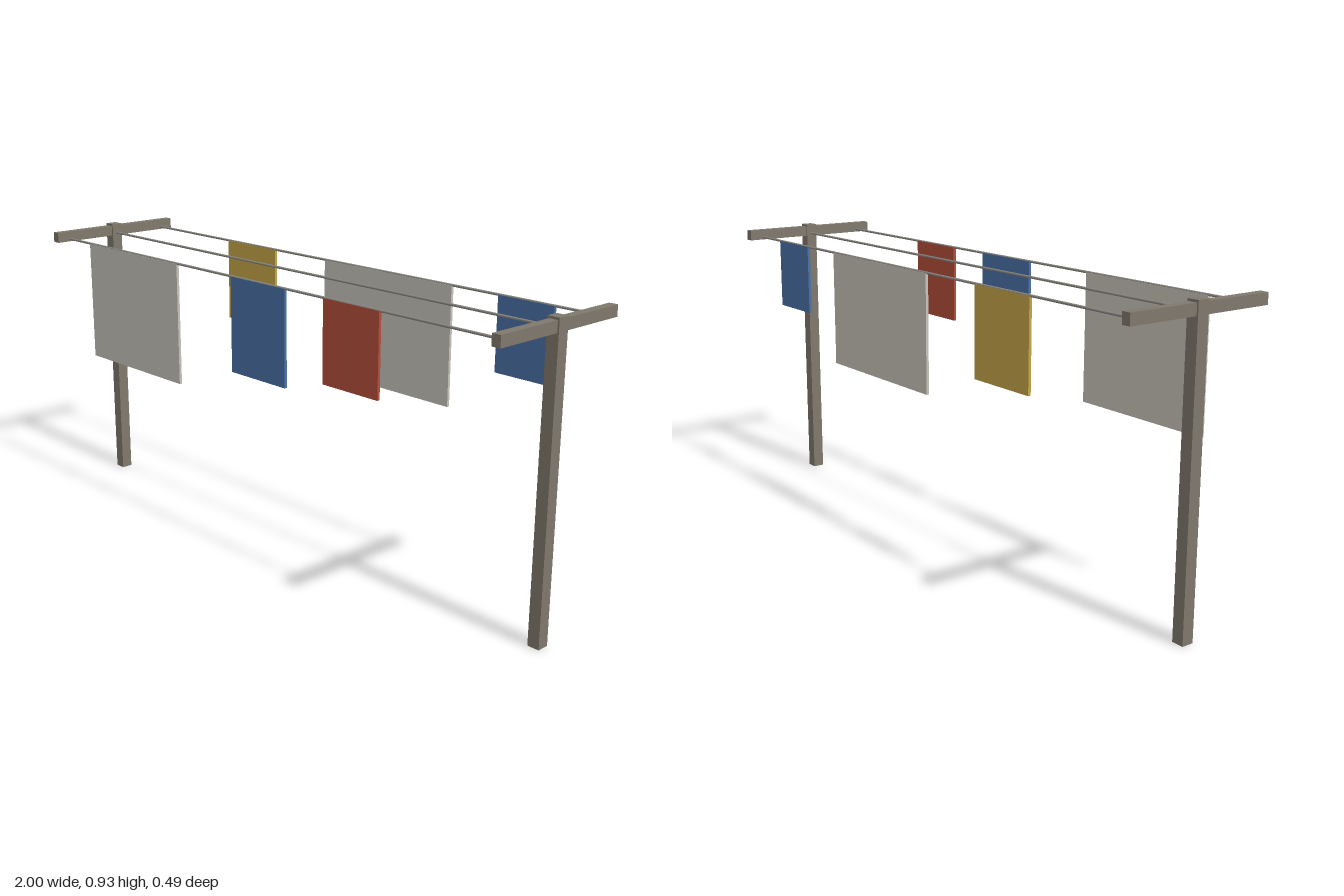
import * as THREE from 'three';

const material = (name, color) => Object.assign(new THREE.MeshStandardMaterial({ color }), { name });

export function createModel() {
  const model = new THREE.Group();
  model.name = 'clothesline';

  const wood = material('weathered wood', 0x80786c);
  const wire = material('line grey', 0x8c8a84);
  const linen = material('linen', 0xc9c5bb);
  const blue = material('blue cloth', 0x4a72a8);
  const red = material('red cloth', 0xb54e3a);
  const gold = material('gold cloth', 0xc6a548);

  const add = (name, geometry, mat, x, y, z) => {
    const mesh = new THREE.Mesh(geometry, mat);
    mesh.name = name;
    mesh.position.set(x, y, z);
    model.add(mesh);
    return mesh;
  };

  // T-shaped end supports
  for (const [side, s] of [['left', 1], ['right', -1]]) {
    add(side + 'Post', new THREE.BoxGeometry(0.038, 0.932, 0.038), wood, s * 0.981, 0.466, 0);
    add(side + 'Crossbar', new THREE.BoxGeometry(0.028, 0.034, 0.49), wood, s * 0.981, 0.908, 0);
  }

  // Three lines strung between the crossbars
  const lineZ = 0.197;
  for (const [name, z] of [['front', lineZ], ['middle', 0], ['back', -lineZ]]) {
    add(name + 'Line', new THREE.CylinderGeometry(0.004, 0.004, 1.96, 6), wire, 0, 0.9, z)
      .rotation.z = Math.PI / 2;
  }

  // Hanging laundry: name, material, x from, x to, bottom, z
  const laundry = [
    ['frontSheet', linen, -0.835, -0.345, 0.502, lineZ],
    ['frontBlueTowel', blue, -0.075, 0.168, 0.6, lineZ],
    ['frontRedTowel', red, 0.33, 0.548, 0.648, lineZ],
    ['backGoldTowel', gold, -0.563, -0.318, 0.624, -lineZ],
    ['backSheet', linen, -0.075, 0.462, 0.527, -lineZ],
    ['backBlueTowel', blue, 0.635, 0.83, 0.672, -lineZ],
  ];
  const top = 0.9;
  for (const [name, mat, x0, x1, bottom, z] of laundry) {
    add(name, new THREE.BoxGeometry(x1 - x0, top - bottom, 0.009), mat, (x0 + x1) / 2, (top + bottom) / 2, z);
  }

  return model;
}
